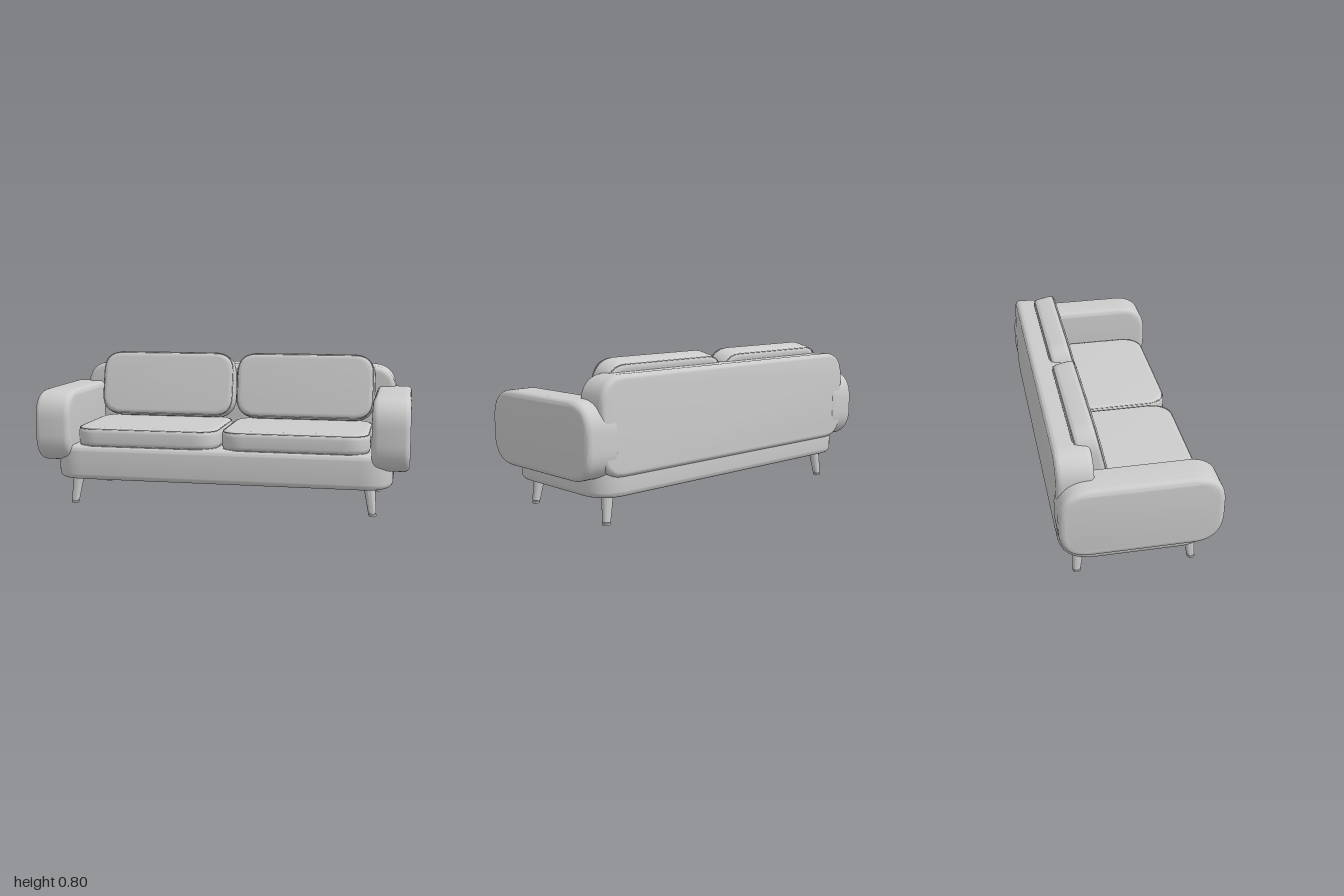
import * as THREE from 'three';
import { toCreasedNormals } from 'three/addons/utils/BufferGeometryUtils.js';

const grey = new THREE.MeshStandardMaterial({ color: 0xcccccc });

// Rectangle centred on the origin with soft corners
function softRect(w, h, r) {
  const x = w / 2, y = h / 2;
  const s = new THREE.Shape();
  s.moveTo(-x + r, -y);
  s.lineTo(x - r, -y);
  s.quadraticCurveTo(x, -y, x, -y + r);
  s.lineTo(x, y - r);
  s.quadraticCurveTo(x, y, x - r, y);
  s.lineTo(-x + r, y);
  s.quadraticCurveTo(-x, y, -x, y - r);
  s.lineTo(-x, -y + r);
  s.quadraticCurveTo(-x, -y, -x + r, -y);
  return s;
}

// Upholstered block: soft outline in xy, depth along z, rounded rims
function softBlock(w, h, d, r, bevel) {
  const g = new THREE.ExtrudeGeometry(softRect(w - 2 * bevel, h - 2 * bevel, r - bevel / 2), {
    depth: d - 2 * bevel, bevelSize: bevel, bevelThickness: bevel, bevelSegments: 6, curveSegments: 12,
  });
  g.translate(0, 0, bevel - d / 2);
  return toCreasedNormals(g, 0.7);
}

function addMesh(parent, name, geometry, x = 0, y = 0, z = 0) {
  const m = new THREE.Mesh(geometry, grey);
  m.name = name;
  m.position.set(x, y, z);
  parent.add(m);
  return m;
}

// Cushion with a fine seam around both faces
function cushion(name, w, h, d, r, bevel) {
  const group = new THREE.Group();
  group.name = name;
  addMesh(group, name + 'Body', softBlock(w, h, d, r, bevel));
  const inset = bevel * 0.29;
  const outline = softRect(w - 2 * inset, h - 2 * inset, r - inset / 2).getSpacedPoints(96);
  for (const side of [-1, 1]) {
    const z = side * (d / 2 - inset);
    const path = new THREE.CatmullRomCurve3(
      outline.slice(0, -1).map((p) => new THREE.Vector3(p.x, p.y, z)), true);
    addMesh(group, name + 'Seam', new THREE.TubeGeometry(path, 128, 0.0025, 6, true));
  }
  return group;
}

export function createModel() {
  const sofa = new THREE.Group();
  sofa.name = 'sofa';

  // Base, laid flat
  const base = softBlock(1.83, 0.76, 0.185, 0.15, 0.03);
  base.rotateX(-Math.PI / 2);
  addMesh(sofa, 'base', base, 0, 0.2375, -0.005);

  // Backrest, a touch higher along its rear edge
  const back = softBlock(1.82, 0.495, 0.185, 0.13, 0.028);
  const p = back.attributes.position;
  for (let i = 0; i < p.count; i++) {
    if (p.getY(i) > 0) p.setY(i, p.getY(i) - 0.04 * p.getZ(i));
  }
  addMesh(sofa, 'backrest', back, 0, 0.492, -0.3075);

  const arm = softBlock(0.81, 0.39, 0.195, 0.14, 0.032);
  arm.rotateY(Math.PI / 2);

  // Tapered leg turned around its axis, with a groove above the foot
  const profile = [[0, 0], [0.019, 0], [0.021, 0.003], [0.021, 0.010], [0.018, 0.012],
    [0.018, 0.014], [0.021, 0.016], [0.031, 0.16], [0, 0.16]];
  const leg = toCreasedNormals(new THREE.LatheGeometry(
    profile.map(([x, y]) => new THREE.Vector2(x, y)), 28), 0.6);

  for (const side of [1, -1]) {
    const label = side > 0 ? 'left' : 'right';
    addMesh(sofa, label + 'Arm', arm, side * 0.9025, 0.43, 0);

    const seat = cushion(label + 'SeatCushion', 0.79, 0.585, 0.11, 0.12, 0.03);
    seat.rotation.x = -Math.PI / 2;
    seat.position.set(side * 0.4, 0.376, 0.073);
    sofa.add(seat);

    const pillow = cushion(label + 'BackCushion', 0.79, 0.375, 0.13, 0.11, 0.032);
    pillow.rotation.x = -0.21;
    pillow.position.set(side * 0.4, 0.613, -0.204);
    sofa.add(pillow);

    // Legs splay outward; a shear keeps the feet flat
    for (const end of [1, -1]) {
      const g = leg.clone().applyMatrix4(new THREE.Matrix4().set(
        1, -0.13 * side, 0, 0,
        0, 1, 0, 0,
        0, -0.09 * end, 1, 0,
        0, 0, 0, 1));
      addMesh(sofa, label + (end > 0 ? 'FrontLeg' : 'BackLeg'), g, side * 0.815, 0, end * 0.299);
    }
  }
  return sofa;
}
